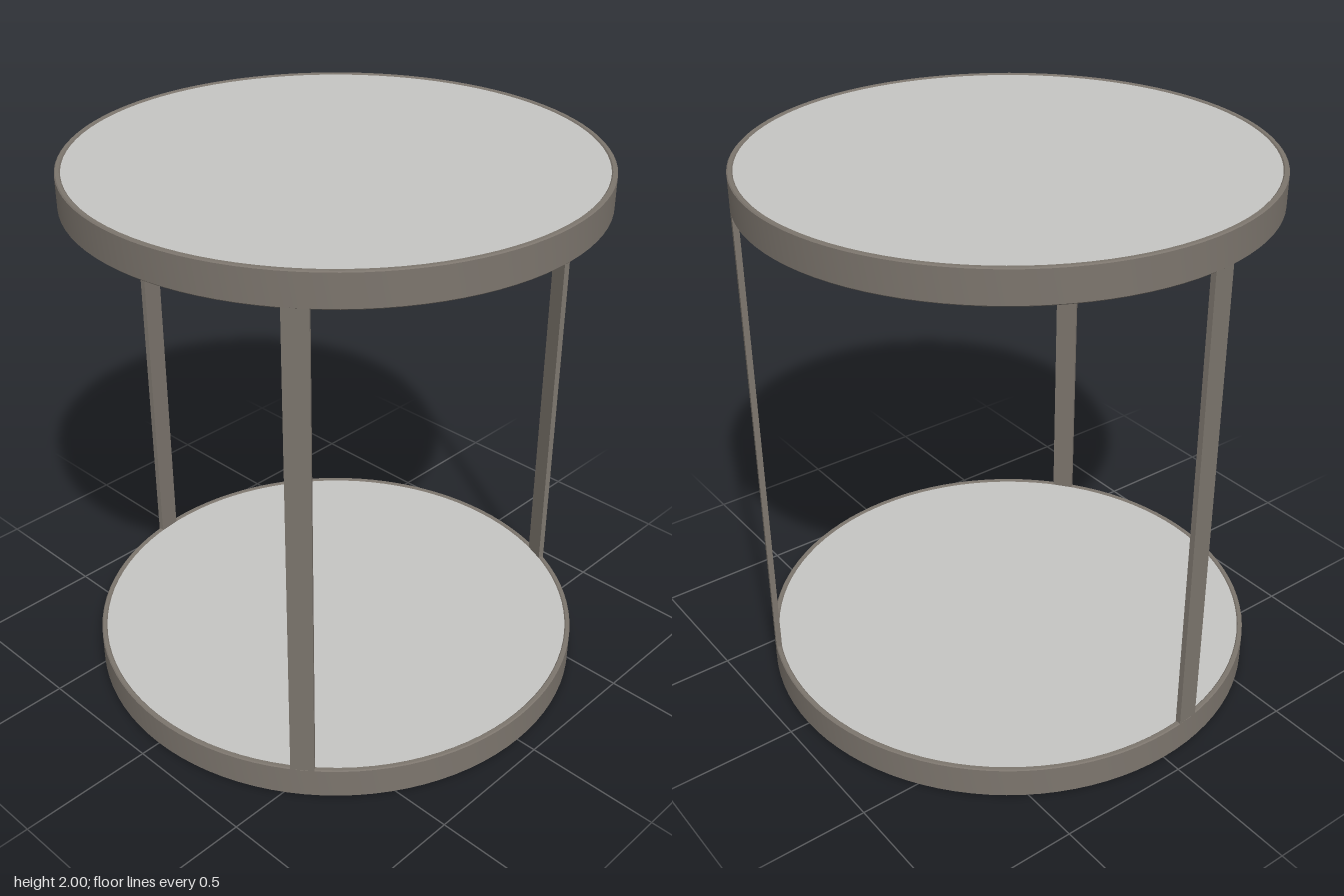
import * as THREE from 'three';
import { toCreasedNormals } from 'three/addons/utils/BufferGeometryUtils.js';

const R = 0.926;      // outer radius of the hoops
const WALL = 0.02;    // metal thickness
const HOOP = 0.12;    // hoop height
const TOP = 2;
const BEVEL = 0.004;
const SEGMENTS = 96;

// Closed, slightly bevelled band profile swept around the axis
function hoopGeometry() {
  const inner = R - WALL;
  const profile = [
    [R - BEVEL, 0], [R, BEVEL], [R, HOOP - BEVEL], [R - BEVEL, HOOP],
    [inner + BEVEL, HOOP], [inner, HOOP - BEVEL], [inner, BEVEL], [inner + BEVEL, 0],
    [R - BEVEL, 0],
  ].map(([x, y]) => new THREE.Vector2(x, y));
  return toCreasedNormals(new THREE.LatheGeometry(profile, SEGMENTS), Math.PI / 6);
}

export function createModel() {
  const metal = new THREE.MeshStandardMaterial({ color: 0x7c756d });
  metal.name = 'warm grey metal';
  const stone = new THREE.MeshStandardMaterial({ color: 0xc4c4c2 });
  stone.name = 'pale grey panel';

  const table = new THREE.Group();
  table.name = 'roundSideTable';

  const add = (name, geometry, material, parent) => {
    const mesh = new THREE.Mesh(geometry, material);
    mesh.name = name;
    parent.add(mesh);
    return mesh;
  };

  // Two identical trays: a metal hoop with a panel set near its upper edge
  const hoop = hoopGeometry();
  const thickness = 0.025;
  const panel = new THREE.CylinderGeometry(R - WALL, R - WALL, thickness, SEGMENTS);
  for (const [name, y] of [['lowerShelf', 0], ['tableTop', TOP - HOOP]]) {
    const tray = new THREE.Group();
    tray.name = name;
    tray.position.y = y;
    add(name + 'Hoop', hoop, metal, tray);
    add(name + 'Panel', panel, stone, tray).position.y = HOOP - 0.004 - thickness / 2;
    table.add(tray);
  }

  // Three flat bar legs standing on the hoop, evenly spaced
  const legHeight = TOP - 2 * HOOP + 2 * BEVEL;
  const bar = new THREE.BoxGeometry(0.084, legHeight, WALL);
  for (let i = 0; i < 3; i++) {
    const angle = THREE.MathUtils.degToRad(67 + i * 120);
    const leg = add('leg' + (i + 1), bar, metal, table);
    const r = R - WALL / 2 - 0.001;
    leg.position.set(Math.sin(angle) * r, TOP / 2, Math.cos(angle) * r);
    leg.rotation.y = angle;
  }

  return table;
}
